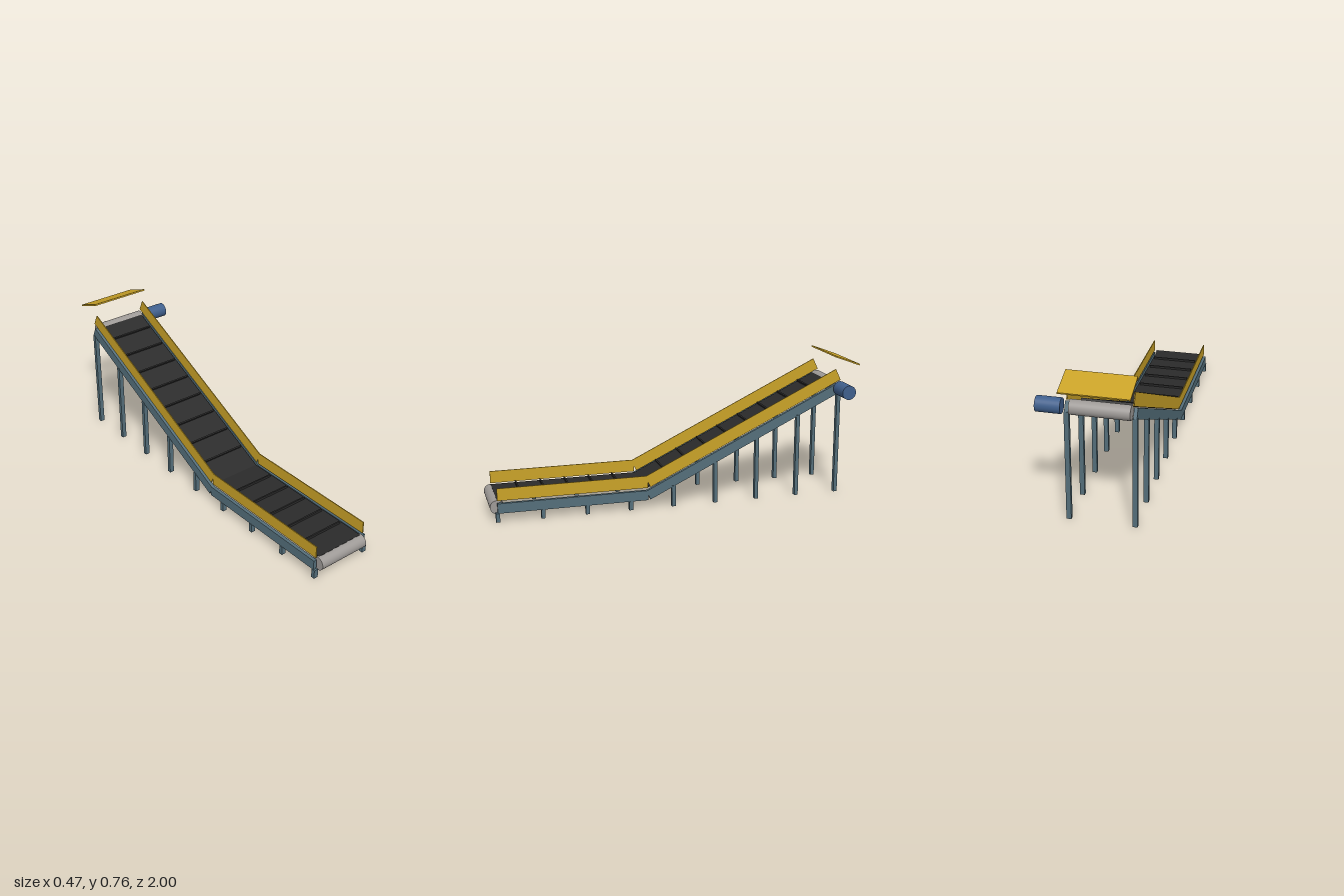
import * as THREE from 'three';

const paint = (color) => new THREE.MeshStandardMaterial({ color });

export function createModel() {
  const model = new THREE.Group();
  const steel = paint(0x546e7a), yellow = paint(0xc9a227), rubber = paint(0x2a2a2a);
  const metal = paint(0x9e9a97), blue = paint(0x3f5f8c);

  const CX = -0.066; // conveyor centre line
  const front = { z: 0.965, y: 0.072 }, bend = { z: 0.18, y: 0.072 }, top = { z: -0.88, y: 0.584 };

  function box(name, w, h, d, x, y, z, mat, tilt = 0, parent = model) {
    const mesh = new THREE.Mesh(new THREE.BoxGeometry(w, h, d), mat);
    mesh.name = name;
    mesh.position.set(x, y, z);
    mesh.rotation.x = tilt;
    parent.add(mesh);
  }

  function drum(name, r, length, x, y, z, mat) {
    const mesh = new THREE.Mesh(new THREE.CylinderGeometry(r, r, length, 32), mat);
    mesh.name = name;
    mesh.rotation.z = Math.PI / 2;
    mesh.position.set(x, y, z);
    model.add(mesh);
  }

  // One straight run between two points: belt, cleats, side rails and guards
  function section(name, a, b, beltTrim, cleats) {
    const group = new THREE.Group();
    group.name = name;
    model.add(group);
    const dz = a.z - b.z, dy = b.y - a.y;
    const length = Math.hypot(dz, dy), tilt = Math.atan2(dy, dz);
    const y = (a.y + b.y) / 2, z = (a.z + b.z) / 2;

    box('belt', 0.271, 0.006, length - beltTrim, CX,
      y + 0.034 - Math.sin(tilt) * beltTrim / 2, z + Math.cos(tilt) * beltTrim / 2, rubber, tilt, group);
    for (let i = 1; i <= cleats; i++) {
      const t = i / (cleats + 1);
      box('cleat', 0.248, 0.012, 0.008, CX, a.y + dy * t + 0.043, a.z - dz * t, rubber, tilt, group);
    }
    for (const s of [-1, 1]) {
      box('sideRail', 0.018, 0.052, length, CX + s * 0.16, y, z, steel, tilt, group);
      box('sideGuard', 0.005, 0.065, length, CX + s * 0.154, y + 0.07, z, yellow, tilt, group);
    }
  }
  section('flatSection', front, bend, 0, 5);
  section('inclineSection', bend, top, 0.025, 8);

  // Evenly spaced pairs of legs reaching up to the rails
  for (let i = 0; i < 9; i++) {
    const z = THREE.MathUtils.lerp(front.z, top.z, i / 8);
    const rise = Math.max(0, (bend.z - z) / (bend.z - top.z)) * (top.y - bend.y);
    const h = front.y + rise - 0.025;
    for (const s of [-1, 1]) box('leg', 0.024, h, 0.02, CX + s * 0.16, h / 2, z, steel);
  }

  // End rollers and drive motor
  drum('tailRoller', 0.036, 0.286, CX, front.y, front.z, metal);
  drum('headRoller', 0.036, 0.286, CX, top.y, top.z, metal);
  drum('driveMotor', 0.038, 0.12, 0.176, top.y, top.z, blue);

  // Tilted discharge hood
  box('dischargeHood', 0.332, 0.008, 0.15, CX, 0.728, -0.929, yellow, -0.35);

  return model;
}
